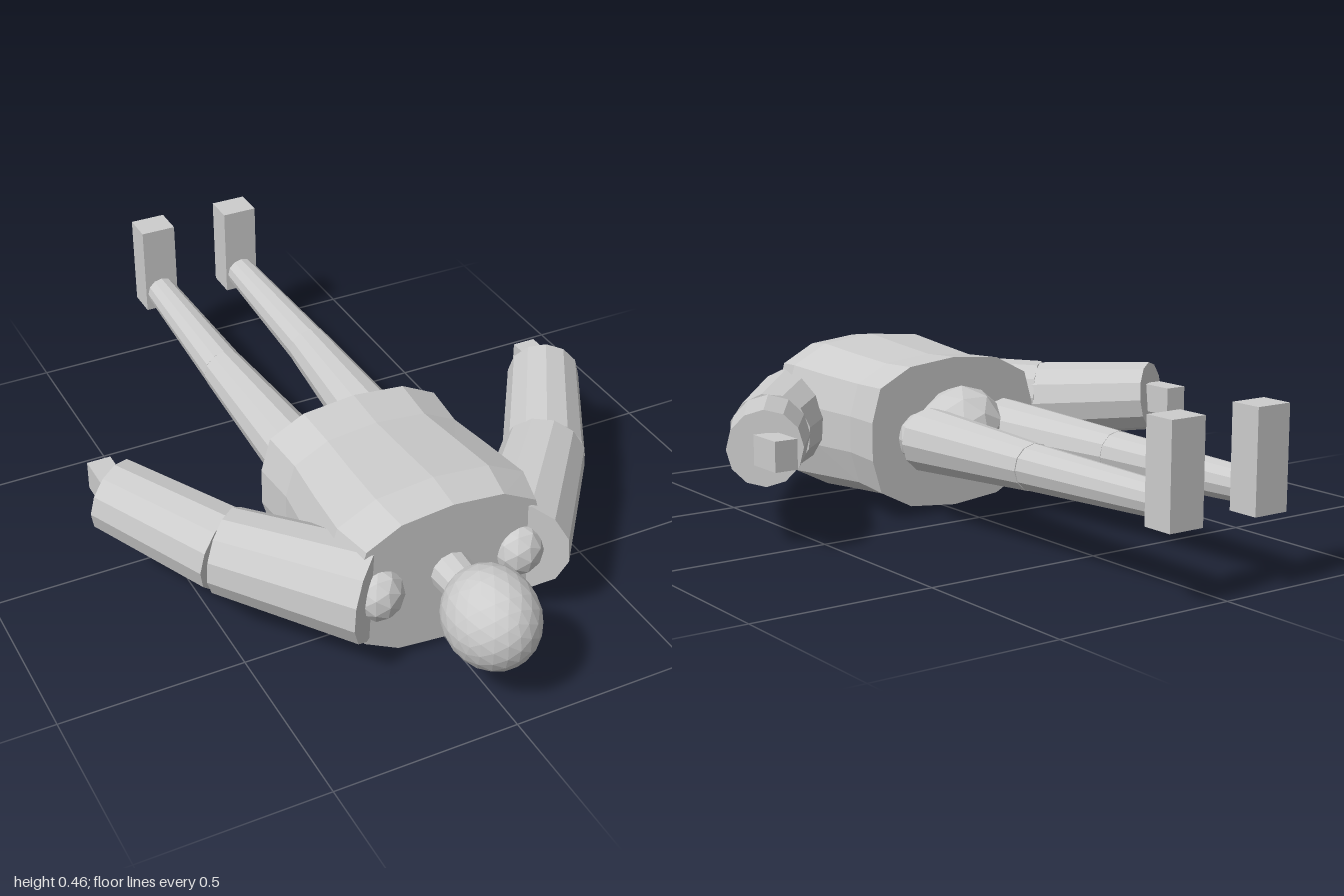
import * as THREE from 'three';

export function createModel() {
  const model = new THREE.Group();
  model.name = 'lyingFigure';
  const grey = new THREE.MeshStandardMaterial({ color: 0xcccccc });
  grey.name = 'grey';
  grey.flatShading = true;
  const Y = 0.235; // height of the body axis

  function add(name, geometry, x = 0, y = 0, z = 0) {
    const mesh = new THREE.Mesh(geometry, grey);
    mesh.name = name;
    mesh.position.set(x, y, z);
    model.add(mesh);
    return mesh;
  }

  function ball(name, p, r, detail) {
    const mesh = add(name, new THREE.IcosahedronGeometry(1, detail), ...p);
    mesh.scale.set(...r);
    return mesh;
  }

  // Tapered cylinder running from point a to point b
  function limb(name, a, b, ra, rb, sides = 12) {
    const from = new THREE.Vector3(...a), to = new THREE.Vector3(...b);
    const dir = to.clone().sub(from);
    const mesh = add(name, new THREE.CylinderGeometry(rb, ra, dir.length(), sides));
    mesh.position.copy(from).add(to).multiplyScalar(0.5);
    mesh.quaternion.setFromUnitVectors(new THREE.Vector3(0, 1, 0), dir.normalize());
    return mesh;
  }

  // Torso: rounded cross-section lofted along z, capped at both ends
  function torsoGeometry() {
    const quarter = [[1, 0.25], [0.9, 0.69], [0.54, 0.93]];
    const top = [...quarter, [0, 1], ...quarter.map(([x, y]) => [-x, y]).reverse()];
    const section = [...top, ...top.map(([x, y]) => [-x, -y])];
    // z, half width, half height
    const rings = [
      [0.12, 0.272, 0.211], [0.25, 0.262, 0.203], [0.4, 0.28, 0.213],
      [0.55, 0.294, 0.225], [0.655, 0.265, 0.21],
    ];
    const n = section.length, positions = [], index = [];
    for (const [z, w, h] of rings) {
      for (const [x, y] of section) positions.push(x * w, y * h, z);
    }
    for (let r = 0; r < rings.length - 1; r++) {
      for (let i = 0; i < n; i++) {
        const a = r * n + i, b = r * n + (i + 1) % n;
        index.push(a, b, b + n, a, b + n, a + n);
      }
    }
    const last = (rings.length - 1) * n;
    for (let i = 1; i < n - 1; i++) {
      index.push(0, i + 1, i, last, last + i, last + i + 1);
    }
    const g = new THREE.BufferGeometry();
    g.setAttribute('position', new THREE.Float32BufferAttribute(positions, 3));
    g.setIndex(index);
    const flat = g.toNonIndexed();
    flat.computeVertexNormals();
    return flat;
  }

  add('torso', torsoGeometry(), 0, 0.23, 0);
  ball('head', [0, Y, 0.853], [0.12, 0.13, 0.14], 3);
  limb('neck', [0, Y, 0.62], [0, Y, 0.76], 0.058, 0.05);
  ball('pelvis', [0, Y, 0.085], [0.13, 0.13, 0.13], 1);

  for (const [side, s] of [['left', 1], ['right', -1]]) {
    // Arm
    const shoulder = [s * 0.205, 0.23, 0.64];
    const elbow = [s * 0.47, 0.24, 0.335];
    const wrist = [s * 0.652, 0.275, 0.035];
    ball(side + 'Shoulder', [s * 0.2, 0.23, 0.645], [0.068, 0.075, 0.068], 1);
    limb(side + 'UpperArm', shoulder, elbow, 0.135, 0.115);
    limb(side + 'Forearm', elbow, wrist, 0.112, 0.1);
    add(side + 'Hand', new THREE.BoxGeometry(0.065, 0.08, 0.11), s * 0.652, 0.275, -0.02);

    // Leg
    const hip = [s * 0.125, 0.23, 0.06];
    const knee = [s * 0.137, 0.242, -0.43];
    const ankle = [s * 0.134, 0.25, -0.912];
    ball(side + 'Hip', [s * 0.12, 0.23, 0.09], [0.075, 0.075, 0.075], 1);
    limb(side + 'Thigh', hip, knee, 0.09, 0.063);
    limb(side + 'Shin', knee, ankle, 0.062, 0.045);
    add(side + 'Foot', new THREE.BoxGeometry(0.102, 0.265, 0.088), s * 0.134, 0.328, -0.956);
  }
  return model;
}
